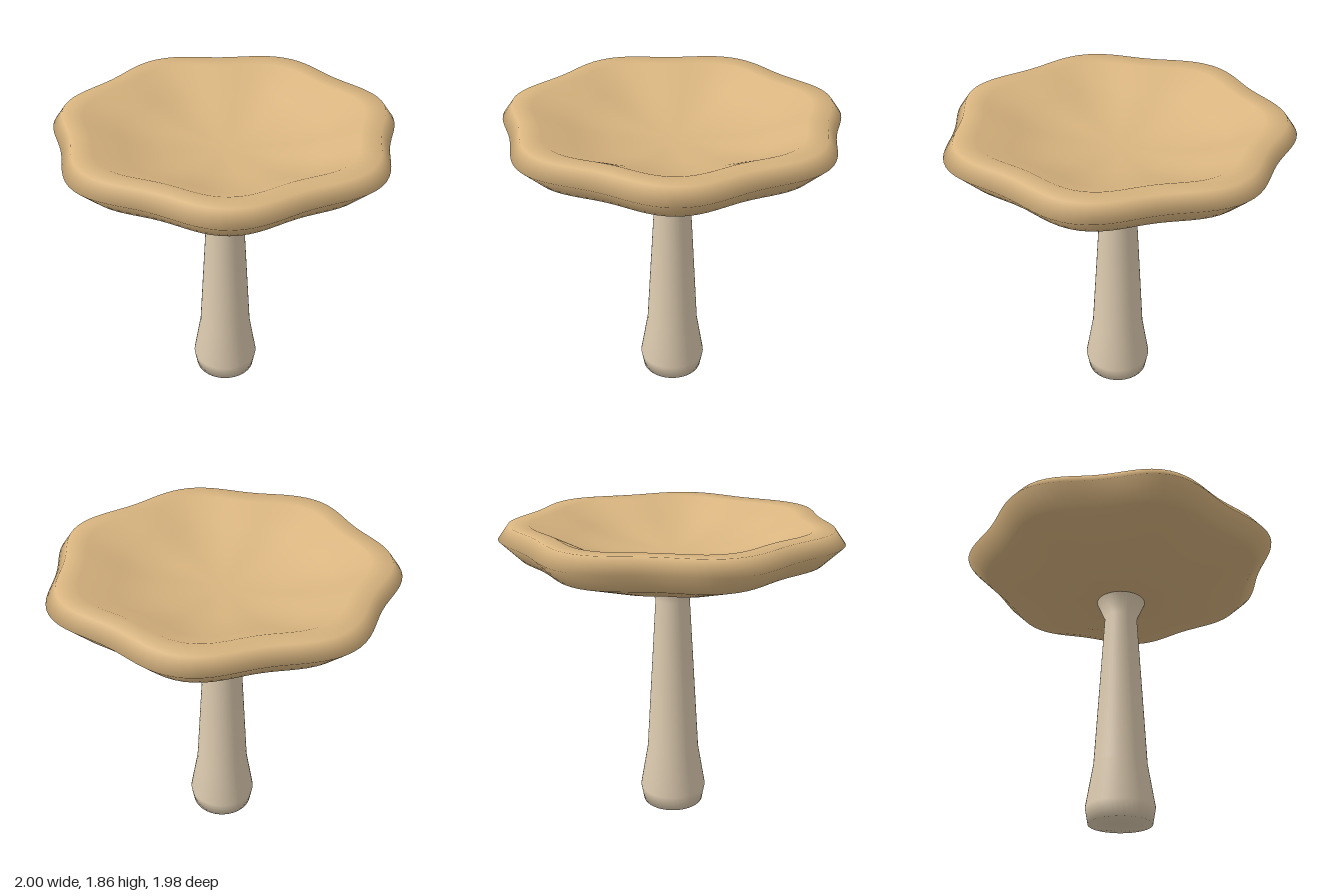
import * as THREE from 'three';
import { mergeVertices } from 'three/addons/utils/BufferGeometryUtils.js';

const capTan = new THREE.MeshStandardMaterial({ color: 0xd9b580 });
capTan.name = 'capTan';
const stemCream = new THREE.MeshStandardMaterial({ color: 0xddcbb0 });
stemCream.name = 'stemCream';

// Smooth, seamless solid of revolution; scale(angle) widens or narrows it around the axis
function turned(profile, segments, scale = () => 1) {
  const points = profile.map(([r, y]) => new THREE.Vector2(r, y));
  const geometry = new THREE.LatheGeometry(points, segments);
  geometry.deleteAttribute('uv');
  geometry.deleteAttribute('normal');
  const pos = geometry.attributes.position;
  for (let i = 0; i < pos.count; i++) {
    const x = pos.getX(i), z = pos.getZ(i);
    const k = scale(Math.atan2(x, z));
    pos.setX(i, x * k);
    pos.setZ(i, z * k);
  }
  const merged = mergeVertices(geometry, 1e-5);
  merged.computeVertexNormals();
  return merged;
}

export function createModel() {
  const mushroom = new THREE.Group();
  mushroom.name = 'mushroom';

  // Cap: thick rounded rim around a shallow bowl, with seven lobes, one pointing forward
  const capProfile = [
    [0, 1.495], [0.2, 1.498], [0.46, 1.518], [0.88, 1.658], [1, 1.775],
    [0.94, 1.857], [0.82, 1.85], [0.62, 1.755], [0.35, 1.69], [0, 1.67],
  ];
  const lobes = (angle) => 0.98 * (1 + 0.04 * Math.cos(7 * angle));
  const cap = new THREE.Mesh(turned(capProfile, 112, lobes), capTan);
  cap.name = 'cap';

  // Stem: closed bulbous foot, long taper and a flared collar under the cap
  const stemProfile = [[0, 0], [0.193, 0], [0.211, 0.1], [0.165, 0.37], [0.105, 1.375], [0.16, 1.505]];
  const stem = new THREE.Mesh(turned(stemProfile, 40), stemCream);
  stem.name = 'stem';

  mushroom.add(cap, stem);
  // The seven lobes are uneven front to back, so shift the axis to centre them
  mushroom.position.z = -0.03;

  const model = new THREE.Group();
  model.name = 'model';
  model.add(mushroom);
  return model;
}
